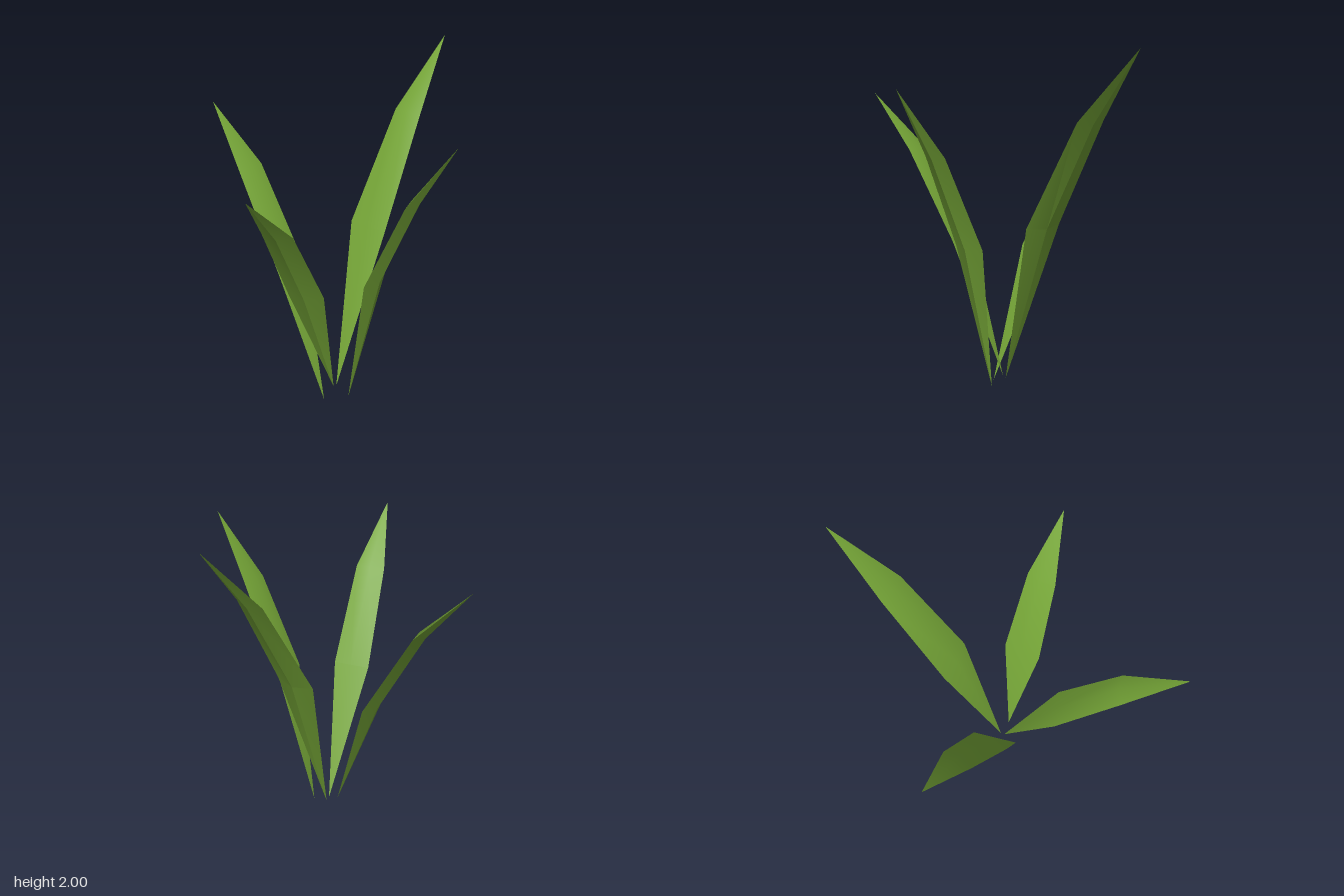
import * as THREE from 'three';
import { toCreasedNormals } from 'three/addons/utils/BufferGeometryUtils.js';

// Each blade: base point, lower and upper [left edge, right edge], tip.
// Left and right are as seen from the middle of the tuft.
const BLADES = [
  { name: 'backBlade', base: [0.08, 0.04, 0.03], tip: [0.055, 2.0, -0.99],
    sections: [[[-0.062, 1.0, -0.275], [0.185, 1.0, -0.28]],
               [[-0.035, 1.61, -0.645], [0.147, 1.61, -0.637]]] },
  { name: 'leftHandBlade', base: [0.18, 0.01, 0.035], tip: [0.84, 1.78, -0.017],
    sections: [[[0.34, 0.868, -0.09], [0.36, 0.865, 0.127]],
               [[0.585, 1.405, -0.086], [0.592, 1.4, 0.083]]] },
  { name: 'rightHandBlade', base: [0.08, 0.0, 0.143], tip: [-0.845, 1.66, 0.07],
    sections: [[[-0.203, 0.775, 0.213], [-0.205, 0.78, -0.003]],
               [[-0.535, 1.328, 0.177], [-0.53, 1.33, 0.0]]] },
  { name: 'frontBlade', base: [0.08, 0.05, 0.055], tip: [0.325, 1.67, 0.99],
    sections: [[[0.238, 0.838, 0.325], [0.04, 0.826, 0.4]],
               [[0.312, 1.352, 0.647], [0.15, 1.35, 0.71]]] },
];
const BULGE = [0.012, 0.021]; // rounding of the inner face
const KEEL = [0.035, 0.028];  // depth of the outer ridge

const vec = (p) => new THREE.Vector3(...p);

// Kite-shaped cross-sections joined between two points
function bladeGeometry({ base, tip, sections }) {
  const mids = [vec(base), ...sections.map(([l, r]) => vec(l).lerp(vec(r), 0.5)), vec(tip)];
  const rings = sections.map(([l, r], s) => {
    const along = mids[s + 2].clone().sub(mids[s]);
    const inward = vec(r).sub(vec(l)).cross(along).normalize();
    const mid = mids[s + 1];
    return [
      vec(l),
      mid.clone().addScaledVector(inward, BULGE[s]),
      vec(r),
      mid.clone().addScaledVector(inward, -KEEL[s]),
    ];
  });
  const points = [];
  for (let i = 0; i < 4; i++) {
    const j = (i + 1) % 4;
    const [low, high] = rings;
    points.push(mids[0], low[j], low[i]);
    points.push(low[i], low[j], high[i], low[j], high[j], high[i]);
    points.push(high[i], high[j], mids[3]);
  }
  const geometry = new THREE.BufferGeometry().setFromPoints(points);
  return toCreasedNormals(geometry, 0.56); // smooth inside, sharp ridge and edges
}

export function createModel() {
  const group = new THREE.Group();
  group.name = 'grassTuft';
  const leafGreen = new THREE.MeshStandardMaterial({ color: 0x75a537 });
  leafGreen.name = 'leafGreen';
  for (const blade of BLADES) {
    const mesh = new THREE.Mesh(bladeGeometry(blade), leafGreen);
    mesh.name = blade.name;
    group.add(mesh);
  }
  return group;
}
